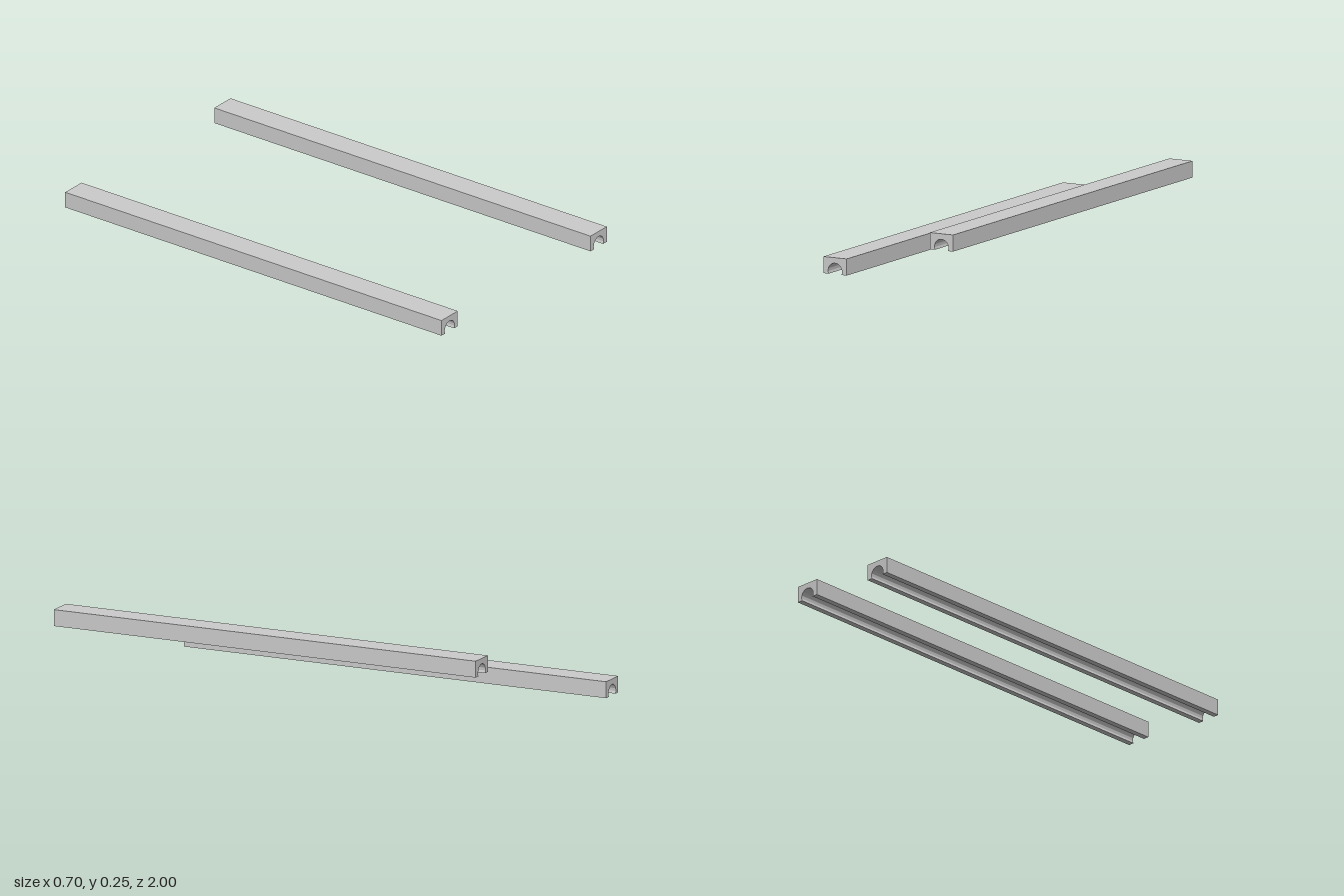
import * as THREE from 'three';
import { toCreasedNormals } from 'three/addons/utils/BufferGeometryUtils.js';

const LENGTH = 1.76, WIDTH = 0.1, HEIGHT = 0.063;
const GROOVE_RADIUS = 0.03, GROOVE_CENTRE = 0.012;

// Rectangular rail section with a round groove opening downwards
function railGeometry() {
  const w = WIDTH / 2;
  const dip = Math.asin(GROOVE_CENTRE / GROOVE_RADIUS);
  const mouth = GROOVE_RADIUS * Math.cos(dip);
  const shape = new THREE.Shape();
  shape.moveTo(mouth, 0);
  shape.lineTo(w, 0);
  shape.lineTo(w, HEIGHT);
  shape.lineTo(-w, HEIGHT);
  shape.lineTo(-w, 0);
  shape.lineTo(-mouth, 0);
  shape.absarc(0, GROOVE_CENTRE, GROOVE_RADIUS, Math.PI + dip, -dip, true);
  const geometry = new THREE.ExtrudeGeometry(shape, {
    depth: LENGTH, bevelEnabled: false, curveSegments: 32,
  });
  return toCreasedNormals(geometry, 0.6);
}

export function createModel() {
  const group = new THREE.Group();
  group.name = 'groovedRails';
  const geometry = railGeometry();
  const material = new THREE.MeshStandardMaterial({ color: 0xcccccc });

  // Lower rail reaches the back, upper rail reaches the front
  const rails = [
    ['lowerRail', -0.3, 0, -1],
    ['upperRail', 0.3, 0.185, 1 - LENGTH],
  ];
  for (const [name, x, y, z] of rails) {
    const rail = new THREE.Mesh(geometry, material);
    rail.name = name;
    rail.position.set(x, y, z);
    group.add(rail);
  }
  return group;
}
